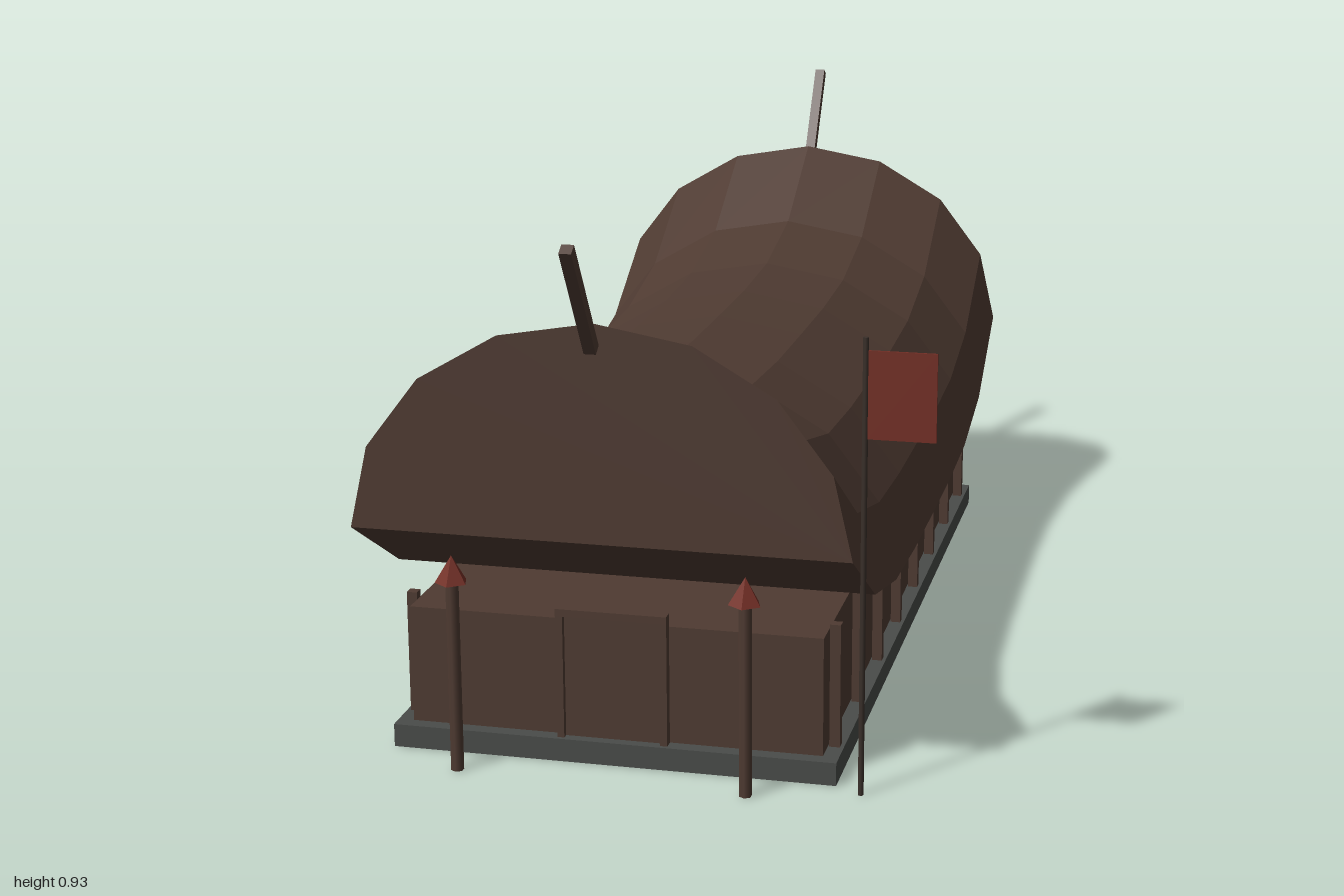
import * as THREE from 'three';

const material = (name, color) => {
  const m = new THREE.MeshStandardMaterial({ color });
  m.name = name;
  return m;
};

// Half-ellipse section swept along z, rising towards both ends, closed below
function roofGeometry(rx, ry, halfLength) {
  const arcs = 8, steps = 8, pos = [];
  const point = (i, j) => {
    const t = (i / steps) * 2 - 1, a = (j / arcs) * Math.PI;
    return [rx * Math.cos(a), 0.225 + 0.185 * t ** 4 + ry * Math.sin(a), t * halfLength];
  };
  const tri = (a, b, c) => pos.push(...a, ...b, ...c);
  for (let i = 0; i < steps; i++) {
    for (let j = 0; j <= arcs; j++) {
      const k = (j + 1) % (arcs + 1);
      const a = point(i, j), b = point(i + 1, j), c = point(i + 1, k), d = point(i, k);
      tri(a, d, c);
      tri(a, c, b);
    }
  }
  // Flat gables
  for (let j = 1; j < arcs; j++) {
    tri(point(steps, 0), point(steps, j), point(steps, j + 1));
    tri(point(0, 0), point(0, j + 1), point(0, j));
  }
  const g = new THREE.BufferGeometry();
  g.setAttribute('position', new THREE.Float32BufferAttribute(pos, 3));
  g.computeVertexNormals();
  return g;
}

// Cone with a hard edge between its sides
function facetedCone(r, h, sides) {
  const g = new THREE.ConeGeometry(r, h, sides).toNonIndexed();
  g.computeVertexNormals();
  return g;
}

export function createModel() {
  const wood = material('brown wood', 0x4f3b32);
  const darkWood = material('dark wood', 0x3a302a);
  const stone = material('grey stone', 0x4a4c4a);
  const red = material('red', 0x742f25);

  const model = new THREE.Group();
  model.name = 'longhouse';
  const hall = new THREE.Group();
  hall.name = 'hall';
  hall.position.x = -0.0625;
  model.add(hall);

  const add = (parent, name, geometry, mat, x, y, z) => {
    const mesh = new THREE.Mesh(geometry, mat);
    mesh.name = name;
    mesh.position.set(x, y, z);
    parent.add(mesh);
    return mesh;
  };
  const box = (name, mat, w, h, d, x, y, z) =>
    add(hall, name, new THREE.BoxGeometry(w, h, d), mat, x, y, z);

  // Foundation, walls and roof
  box('foundation', stone, 0.764, 0.04, 1.58, 0, 0.02, 0);
  box('walls', wood, 0.71, 0.205, 1.53, 0, 0.1425, 0);
  add(hall, 'roof', roofGeometry(0.418, 0.365, 0.857), wood, 0, 0, 0);

  // Posts along both sides
  for (const side of [-1, 1]) {
    for (let i = 0; i < 8; i++) {
      box('wallPost', wood, 0.018, 0.215, 0.018, side * 0.3665, 0.1475, -0.715 + (i * 1.43) / 7);
    }
  }

  // Door with its frame
  box('door', wood, 0.166, 0.215, 0.008, 0, 0.1475, 0.768);
  for (const side of [-1, 1]) {
    box('doorJamb', wood, 0.012, 0.215, 0.018, side * 0.089, 0.1475, 0.774);
  }
  box('doorLintel', wood, 0.19, 0.013, 0.02, 0, 0.2615, 0.775);

  // Slanted ridge beams at both gables
  for (const end of [-1, 1]) {
    const beam = box('ridgeBeam', wood, 0.02, 0.224, 0.02, 0, 0.8285, end * 0.931);
    beam.rotation.x = end * 0.59;
  }

  // Red-tipped posts before the door
  for (const side of [-1, 1]) {
    add(hall, 'gatePost', new THREE.CylinderGeometry(0.011, 0.011, 0.33, 6), wood, side * 0.2455, 0.165, 0.86);
    add(hall, 'gatePostTip', facetedCone(0.028, 0.046, 5), red, side * 0.2455, 0.352, 0.86);
  }

  // Flag
  add(model, 'flagPole', new THREE.CylinderGeometry(0.005, 0.005, 0.766, 6), darkWood, 0.365, 0.383, 0.815);
  add(model, 'flag', new THREE.BoxGeometry(0.109, 0.143, 0.004), red, 0.4235, 0.6735, 0.815);

  return model;
}
